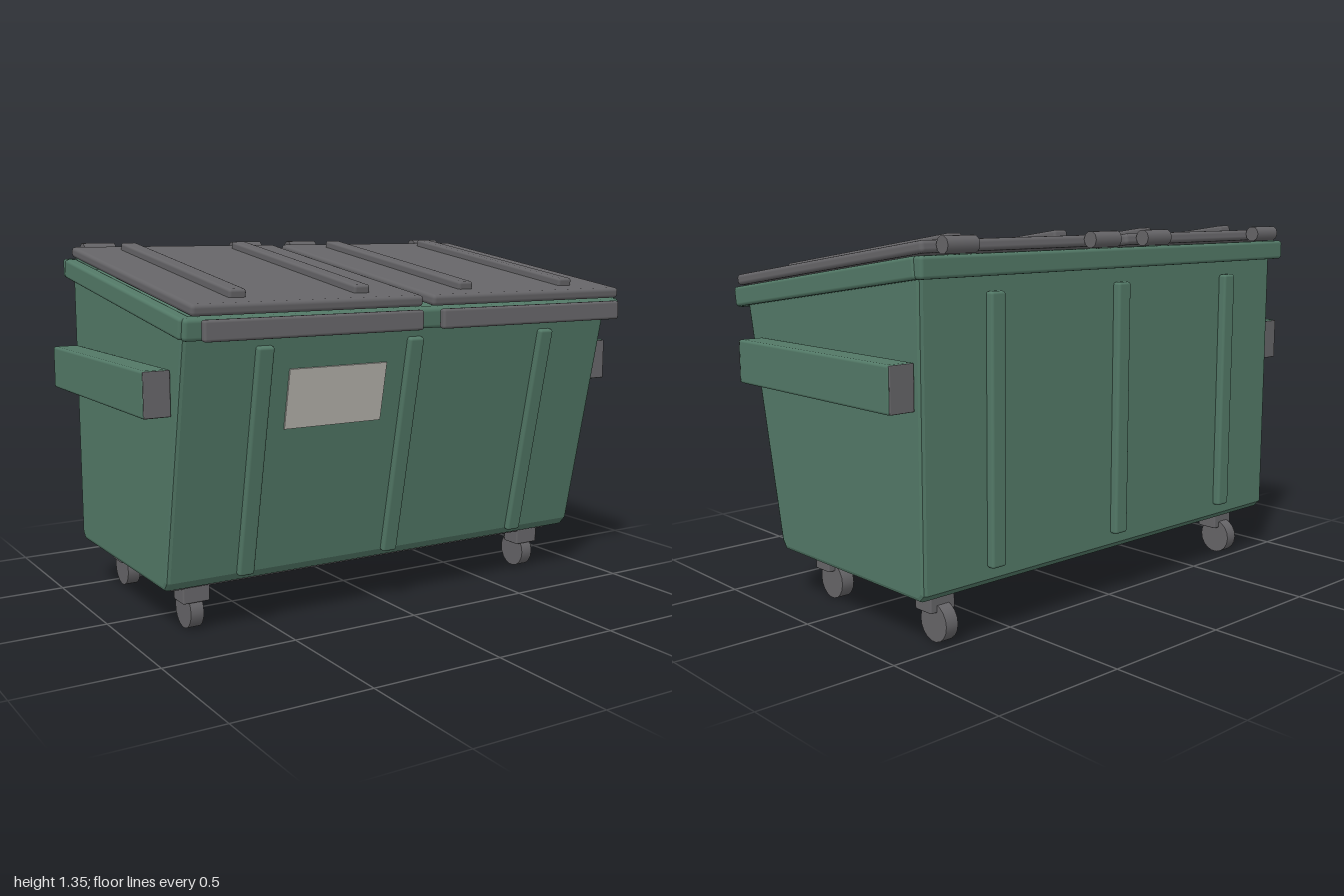
import * as THREE from 'three';
import { RoundedBoxGeometry } from 'three/addons/geometries/RoundedBoxGeometry.js';

const paint = (name, color) => Object.assign(new THREE.MeshStandardMaterial({ color }), { name });

export function createModel() {
  const green = paint('bin green', 0x527866);
  const grey = paint('lid grey', 0x656467);
  const pale = paint('label grey', 0xbab8b1);
  const model = new THREE.Group();
  model.name = 'dumpster';

  const add = (name, geometry, material, x, y, z, tilt = 0) => {
    const mesh = new THREE.Mesh(geometry, material);
    mesh.name = name;
    mesh.position.set(x, y, z);
    mesh.rotation.x = tilt;
    model.add(mesh);
    return mesh;
  };
  // Box with softened edges, given by its centre and size
  const block = (name, mat, [w, h, d], [x, y, z], tilt = 0, r = 0.01) =>
    add(name, new RoundedBoxGeometry(w, h, d, 2, Math.min(r, w / 2.1, h / 2.1, d / 2.1)), mat, x, y, z, tilt);

  // Body: side profile (z, y) extruded across the width with bevelled edges
  const b = 0.015;
  const profile = new THREE.Shape([
    [-0.5, 0.185 + b], [0.285, 0.185 + b], [0.303, 0.222],
    [0.485, 1.09], [-0.53 + b, 1.235], [-0.53 + b, 0.215],
  ].map(([z, y]) => new THREE.Vector2(z, y)));
  const bodyGeometry = new THREE.ExtrudeGeometry(profile, {
    depth: 1.8 - 2 * b, bevelThickness: b, bevelSize: b, bevelSegments: 2,
  });
  bodyGeometry.translate(0, 0, -0.9 + b).rotateY(-Math.PI / 2);
  add('body', bodyGeometry, green, 0, 0, 0);

  // Rim: level bars front and back, sloped bars at the sides
  const slope = Math.atan2(0.155, 1.085);
  block('frontRim', green, [1.84, 0.075, 0.05], [0, 1.103, 0.53], slope, 0.015);
  block('backRim', green, [1.85, 0.072, 0.045], [0, 1.257, -0.55], 0, 0.012);
  for (const s of [-1, 1]) {
    block('sideRim', green, [0.05, 0.072, 1.09], [s * 0.905, 1.18, 0], slope, 0.012);
  }

  // Front panel tilt and its outer surface at a given height
  const lean = Math.atan2(0.182, 0.868);
  const frontZ = (y) => 0.316 + (y - 0.222) * 0.182 / 0.868;

  // Stiffening ribs on the front and back
  for (const x of [-0.603, 0, 0.6]) {
    block('frontRib', green, [0.062, 0.84, 0.034], [x, 0.62, frontZ(0.62) + 0.007], lean);
    block('backRib', green, [0.062, 0.92, 0.035], [x, 0.71, -0.543]);
  }

  // Label plate
  add('label', new THREE.BoxGeometry(0.39, 0.216, 0.008), pale, -0.305, 0.84, frontZ(0.84) + 0.004, lean);

  for (const s of [-1, 1]) {
    // Lift pockets with dark ends
    block('liftPocket', green, [0.1, 0.158, 0.898], [s * 0.95, 0.884, -0.05]);
    for (const z of [0.398, -0.498]) {
      block('pocketEnd', grey, [0.094, 0.154, 0.008], [s * 0.95, 0.884, z], 0, 0.003);
    }

    // Lid with ribs, front lip and hinges
    const tilt = Math.atan2(0.158, 1.11);
    block('lid', grey, [0.88, 0.04, 1.125], [s * 0.46, 1.241, 0.015], tilt, 0.014);
    block('lidLip', grey, [0.832, 0.07, 0.03], [s * 0.457, 1.1, 0.591]);
    for (const x of [s * 0.46 - 0.24, s * 0.46 + 0.235]) {
      block('lidRib', grey, [0.063, 0.04, 0.96], [x, 1.268, 0.018], tilt);
    }
    for (const x of [0.133, 0.78]) {
      const hinge = new THREE.CylinderGeometry(0.029, 0.029, 0.128, 10).rotateZ(Math.PI / 2);
      add('hinge', hinge, grey, s * x, 1.324, -0.573);
    }

    // Casters
    for (const z of [0.197, -0.403]) {
      block('casterMount', grey, [0.104, 0.062, 0.085], [s * 0.753, 0.137, z], 0, 0.006);
      const wheel = new THREE.CylinderGeometry(0.068, 0.068, 0.05, 18).rotateZ(Math.PI / 2);
      add('wheel', wheel, grey, s * 0.753, 0.068, z - 0.022);
    }
  }

  // Channels under the floor
  for (const z of [0.197, -0.403]) {
    block('floorChannel', grey, [1.7, 0.035, 0.085], [0, 0.179, z], 0, 0.006);
  }
  return model;
}
